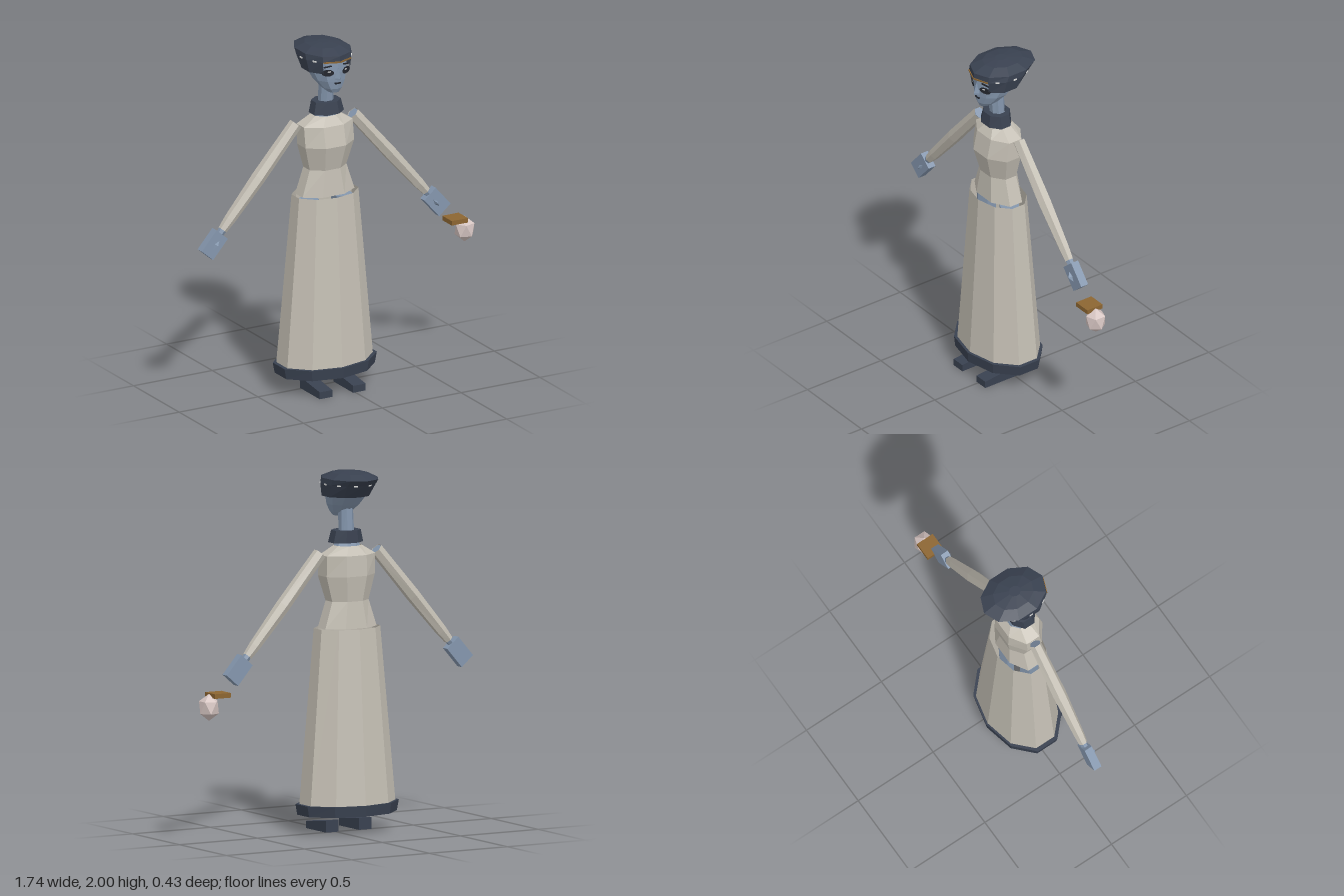
import * as THREE from 'three';

const mat = (name, color, open) => {
  const m = new THREE.MeshStandardMaterial({ color, flatShading: true });
  m.name = name;
  if (open) m.side = THREE.DoubleSide;
  return m;
};

// Faceted loft around y. Rings run bottom to top: [y, radiusX, zFront, zBack].
function loft(rings, n, { phase = 0, bottom = false, top = false, skip = () => false } = {}) {
  const pos = [];
  const pt = ([y, r, f, b], i) => {
    const a = phase + (i * 2 * Math.PI) / n;
    return [r * Math.sin(a), y, (f + b) / 2 + ((f - b) / 2) * Math.cos(a)];
  };
  const mid = ([y, , f, b]) => [0, y, (f + b) / 2];
  const tri = (...p) => p.forEach((q) => pos.push(...q));
  const last = rings[rings.length - 1];
  for (let i = 0; i < n; i++) {
    for (let k = 0; k + 1 < rings.length; k++) {
      if (skip(k, i)) continue;
      const a = pt(rings[k], i), b = pt(rings[k], i + 1);
      const c = pt(rings[k + 1], i + 1), d = pt(rings[k + 1], i);
      tri(a, b, c);
      tri(a, c, d);
    }
    if (bottom) tri(mid(rings[0]), pt(rings[0], i + 1), pt(rings[0], i));
    if (top) tri(mid(last), pt(last, i), pt(last, i + 1));
  }
  const g = new THREE.BufferGeometry();
  g.setAttribute('position', new THREE.Float32BufferAttribute(pos, 3));
  g.computeVertexNormals();
  return g;
}

export function createModel() {
  const cream = mat('cream cloth', 0xc4bfb4, true);
  const skin = mat('blue skin', 0x8496ad);
  const dark = mat('dark slate', 0x394150, true);
  const gold = mat('brass', 0x8c6531);
  const pink = mat('pale pink', 0xd6c5c2);
  const ink = mat('ink', 0x23262e, true);
  const white = mat('eye white', 0xd8d8d6, true);

  const model = new THREE.Group();
  model.name = 'lady';
  const body = new THREE.Group();
  body.name = 'figure';
  body.position.x = -0.08;
  model.add(body);
  const add = (name, geo, m, x = 0, y = 0, z = 0, parent = body) => {
    const mesh = new THREE.Mesh(geo, m);
    mesh.name = name;
    mesh.position.set(x, y, z);
    parent.add(mesh);
    return mesh;
  };

  // Skirt and hem, open below and at the waist
  add('skirt', loft([[0.13, 0.288, 0.203, -0.193], [1.13, 0.198, 0.145, -0.126]], 10), cream);
  add('hem', loft([[0.1, 0.296, 0.212, -0.196], [0.16, 0.308, 0.217, -0.202], [0.16, 0.284, 0.2, -0.19]], 10), dark);

  // Bodice
  add('bodice', loft([
    [1.13, 0.178, 0.115, -0.1], [1.28, 0.126, 0.102, -0.086], [1.42, 0.167, 0.14, -0.108],
    [1.535, 0.167, 0.114, -0.103], [1.585, 0.08, 0.075, -0.065],
  ], 8, { phase: Math.PI / 8 }), cream);

  // Neck and flared collar
  add('neckBase', loft([[1.56, 0.09, 0.075, -0.06], [1.6, 0.065, 0.07, -0.045]], 8, { phase: Math.PI / 8, top: true }), skin);
  add('neck', loft([[1.58, 0.045, 0.05, -0.03], [1.82, 0.04, 0.075, -0.02]], 8, { phase: Math.PI / 8 }), skin);
  add('collar', loft([[1.6, 0.102, 0.105, -0.056], [1.668, 0.085, 0.092, -0.052], [1.668, 0.05, 0.06, -0.03]], 8,
    { phase: Math.PI / 8 }), dark);

  // Head
  add('head', loft([
    [1.74, 0.032, 0.135, 0.05], [1.765, 0.06, 0.147, 0.01], [1.81, 0.092, 0.153, -0.05],
    [1.86, 0.11, 0.157, -0.105], [1.95, 0.11, 0.152, -0.105],
  ], 10, { bottom: true, top: true }), skin);
  add('nose', loft([[1.822, 0.02, 0.172, 0.13], [1.832, 0.02, 0.174, 0.13], [1.89, 0.008, 0.16, 0.13]], 4,
    { bottom: true, top: true }), skin);
  add('mouth', new THREE.BoxGeometry(0.034, 0.008, 0.008), ink, 0, 1.8, 0.15);
  for (const s of [-1, 1]) {
    const eye = new THREE.Group();
    eye.name = s > 0 ? 'leftEye' : 'rightEye';
    eye.position.set(s * 0.058, 1.865, 0.141);
    eye.rotation.y = s * 0.42;
    body.add(eye);
    add('eyeShade', new THREE.CircleGeometry(1, 10).scale(0.036, 0.02, 1), ink, 0, 0, 0, eye);
    add('eyeWhite', new THREE.CircleGeometry(1, 6).scale(0.011, 0.005, 1), white, -s * 0.008, 0.008, 0.003, eye);
    add('eyebrow', new THREE.BoxGeometry(0.045, 0.007, 0.006), ink, 0, 0.036, -0.002, eye).rotation.z = -s * 0.2;
  }

  // Cap, with the forehead left open at the front
  add('cap', loft([
    [1.86, 0.137, 0.158, -0.115], [1.93, 0.151, 0.176, -0.178], [1.963, 0.15, 0.174, -0.215],
    [1.99, 0.095, 0.1, -0.14], [2, 0.03, 0.025, -0.045],
  ], 10, { top: true, skip: (k, i) => k === 0 && (i === 0 || i === 9) }), dark);
  for (let i = 0; i < 10; i++) {
    // Brass trim over the brow, small pale studs around the rest
    const a = ((i + 0.5) * Math.PI) / 5;
    const x = 0.151 * 0.951 * Math.sin(a), z = -0.001 + 0.177 * 0.951 * Math.cos(a);
    const front = i === 0 || i === 9;
    const trim = add(front ? 'capTrim' : 'capStud',
      new THREE.BoxGeometry(front ? 0.09 : 0.022, 0.008, 0.008), front ? gold : white, x, 1.93, z);
    trim.rotation.y = Math.atan2(Math.sin(a) / 0.151, Math.cos(a) / 0.177);
  }

  for (const s of [-1, 1]) {
    const side = s > 0 ? 'left' : 'right';

    // Arm, built upright from the wrist, then tilted and mirrored
    const mirror = new THREE.Group();
    mirror.name = side + 'ArmSide';
    mirror.scale.x = s;
    body.add(mirror);
    const arm = new THREE.Group();
    arm.name = side + 'Arm';
    arm.position.set(0.645, 1.013, 0);
    arm.rotation.z = 0.714;
    mirror.add(arm);
    const tube = (y, r, d) => [y, r, d, -d];
    add('sleeve', loft([tube(0, 0.026, 0.025), tube(0.07, 0.033, 0.03), tube(0.35, 0.04, 0.04), tube(0.71, 0.038, 0.034)], 6), cream, 0, 0, 0, arm);
    add('armSkin', loft([tube(-0.03, 0.021, 0.02), tube(0.07, 0.028, 0.025), tube(0.35, 0.034, 0.034), tube(0.708, 0.035, 0.031)], 6,
      { bottom: true, top: true }), skin, 0, 0, 0, arm);
    add('hand', new THREE.BoxGeometry(0.095, 0.143, 0.047), skin, 0, -0.094, 0, arm);
    const thumb = add('thumb', new THREE.ConeGeometry(0.02, 0.022, 4), skin, -0.008, -0.09, 0.033, arm);
    thumb.rotation.x = Math.PI / 2;
    thumb.scale.set(0.6, 1, 1.6);

    // Leg and wedge shoe
    add(side + 'Leg', loft([tube(0.092, 0.022, 0.026), tube(0.5, 0.042, 0.042), tube(1.1, 0.06, 0.06)], 6,
      { bottom: true, top: true }), skin, s * 0.106, 0, 0.01);
    const shoe = new THREE.BoxGeometry(0.08, 0.066, 0.215);
    const p = shoe.attributes.position;
    for (let i = 0; i < p.count; i++) if (p.getY(i) > 0 && p.getZ(i) > 0) p.setY(i, 0.007);
    shoe.computeVertexNormals();
    add(side + 'Shoe', shoe, dark, s * 0.106, 0.033, 0.097);
  }

  // Pouch: brass plate with a faceted ball beneath
  add('clasp', new THREE.BoxGeometry(0.103, 0.026, 0.104), gold, 0.832, 0.813, 0);
  const ball = new THREE.IcosahedronGeometry(0.075, 0).rotateZ(0.5536).scale(0.82, 1, 0.82);
  add('ball', ball, pink, 0.891, 0.748, 0);

  return model;
}
